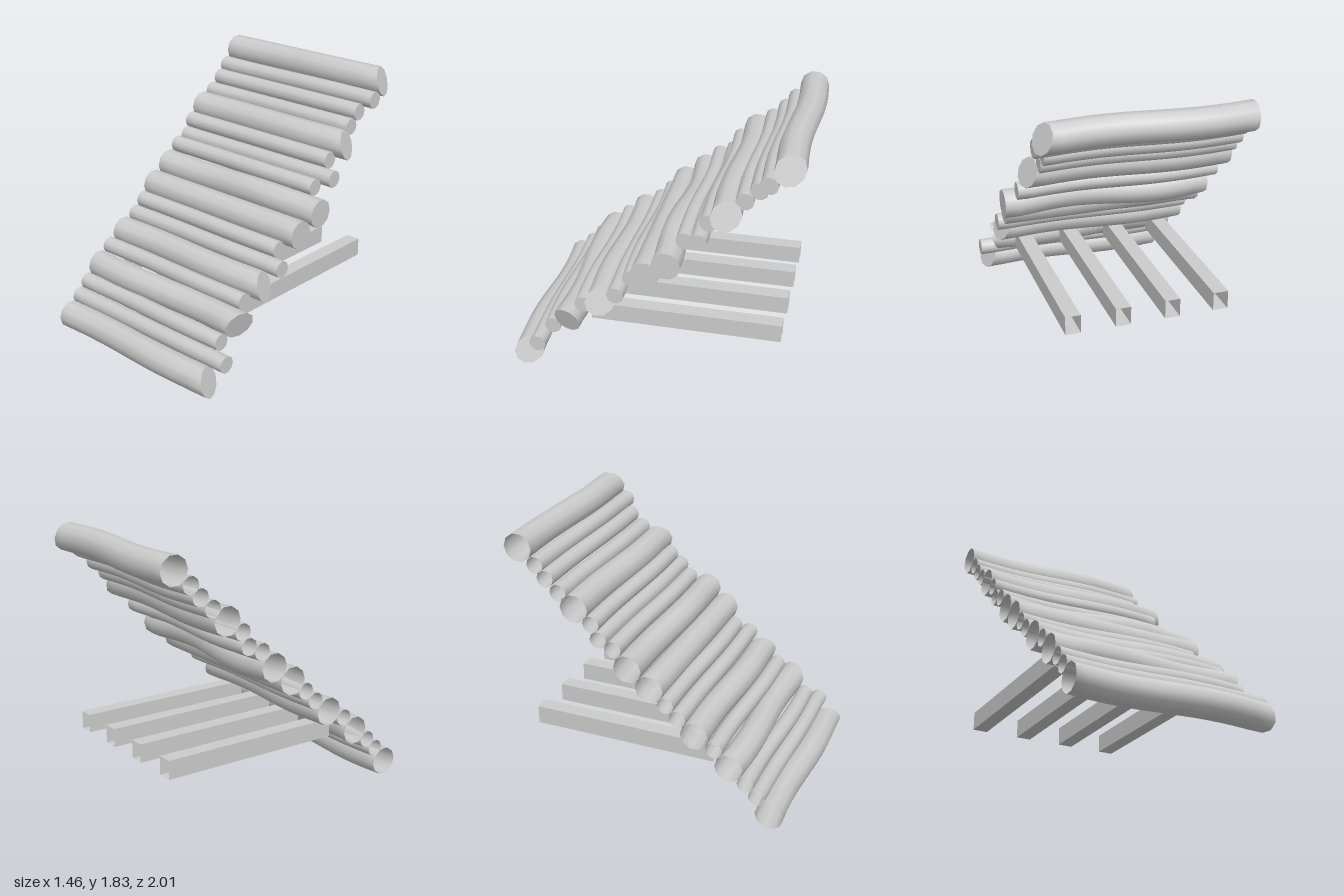
import * as THREE from 'three';
import { toCreasedNormals } from 'three/addons/utils/BufferGeometryUtils.js';

const START = -0.73, BEND_END = 0.6;

// [z, y, radius, end x, slant of the cut end, sway in z, sway in y], bottom to top
const LOGS = [
  [0.885, 0.11, 0.1, 0.645, 0.045, 0.016, 0.005],
  [0.795, 0.23, 0.06, 0.72, 0, 0.008, 0.005],
  [0.715, 0.315, 0.06, 0.6, 0, 0.012, 0.005],
  [0.595, 0.41, 0.1, 0.645, -0.045, -0.016, -0.005],
  [0.49, 0.525, 0.06, 0.6, 0, 0.012, 0.005],
  [0.35, 0.6, 0.1, 0.645, 0.045, 0.016, 0.005],
  [0.23, 0.7, 0.06, 0.7, 0, 0.008, 0.003],
  [0.145, 0.785, 0.06, 0.6, 0, 0.012, 0.005],
  [0.03, 0.88, 0.1, 0.69, 0, 0, 0],
  [-0.125, 1.0, 0.1, 0.73, 0, 0.02, 0.015],
  [-0.225, 1.125, 0.06, 0.6, 0, 0.012, 0.005],
  [-0.33, 1.175, 0.06, 0.68, 0, 0.012, 0.006],
  [-0.38, 1.28, 0.06, 0.6, 0, 0.012, 0.005],
  [-0.5, 1.37, 0.1, 0.645, 0.045, 0.016, 0.005],
  [-0.61, 1.465, 0.06, 0.6, 0, 0.012, 0.005],
  [-0.7, 1.55, 0.06, 0.6, 0, 0.012, 0.005],
  [-0.77, 1.635, 0.06, 0.675, 0, 0.012, 0.006],
  [-0.89, 1.74, 0.1, 0.645, 0.045, 0.016, 0.005],
];

// Gently swaying log along x, capped at +x and open at -x
function logGeometry(radius, end, slant, swayZ, swayY) {
  const geo = new THREE.CylinderGeometry(radius, radius, 1, 10, 14);
  const bottomCap = geo.groups[2].start;
  geo.setIndex(Array.from(geo.index.array).slice(0, bottomCap));
  geo.clearGroups();
  geo.rotateZ(-Math.PI / 2);
  const p = geo.attributes.position;
  for (let i = 0; i < p.count; i++) {
    const t = p.getX(i) + 0.5;
    let x = START + t * (end - START);
    const y = p.getY(i), z = p.getZ(i);
    const u = Math.min(1, (x - START) / (BEND_END - START));
    const sway = -Math.sin(2 * Math.PI * u);
    // Oblique saw cut on the last ring
    if (t > 0.999) x += slant * (z - y) / (Math.SQRT2 * radius);
    p.setXYZ(i, x, y + sway * swayY, z + sway * swayZ);
  }
  return toCreasedNormals(geo, 0.8);
}

export function createModel() {
  const model = new THREE.Group();
  model.name = 'slopedLogRamp';
  const wood = new THREE.MeshStandardMaterial({ color: 0xcccccc, side: THREE.DoubleSide });
  const beamMaterial = new THREE.MeshStandardMaterial({
    color: 0xcccccc, side: THREE.DoubleSide, flatShading: true,
  });

  // Sloping deck of logs
  const deck = new THREE.Group();
  deck.name = 'logDeck';
  LOGS.forEach(([z, y, radius, end, slant, swayZ, swayY], i) => {
    const log = new THREE.Mesh(logGeometry(radius, end, slant, swayZ, swayY), wood);
    log.name = `log${i + 1}`;
    log.position.set(0, y, z);
    deck.add(log);
  });
  model.add(deck);

  // Four hollow support beams reaching back from the deck
  const beams = new THREE.Group();
  beams.name = 'supportBeams';
  const beamGeo = new THREE.CylinderGeometry(Math.SQRT1_2, Math.SQRT1_2, 1, 4, 1, true)
    .rotateY(Math.PI / 4).rotateX(Math.PI / 2).scale(0.105, 0.13, 1.33);
  for (let i = 0; i < 4; i++) {
    const beam = new THREE.Mesh(beamGeo, beamMaterial);
    beam.name = `supportBeam${i + 1}`;
    beam.position.set(-0.57 + i * 0.345, 0.43, -0.215);
    beams.add(beam);
  }
  model.add(beams);
  return model;
}
